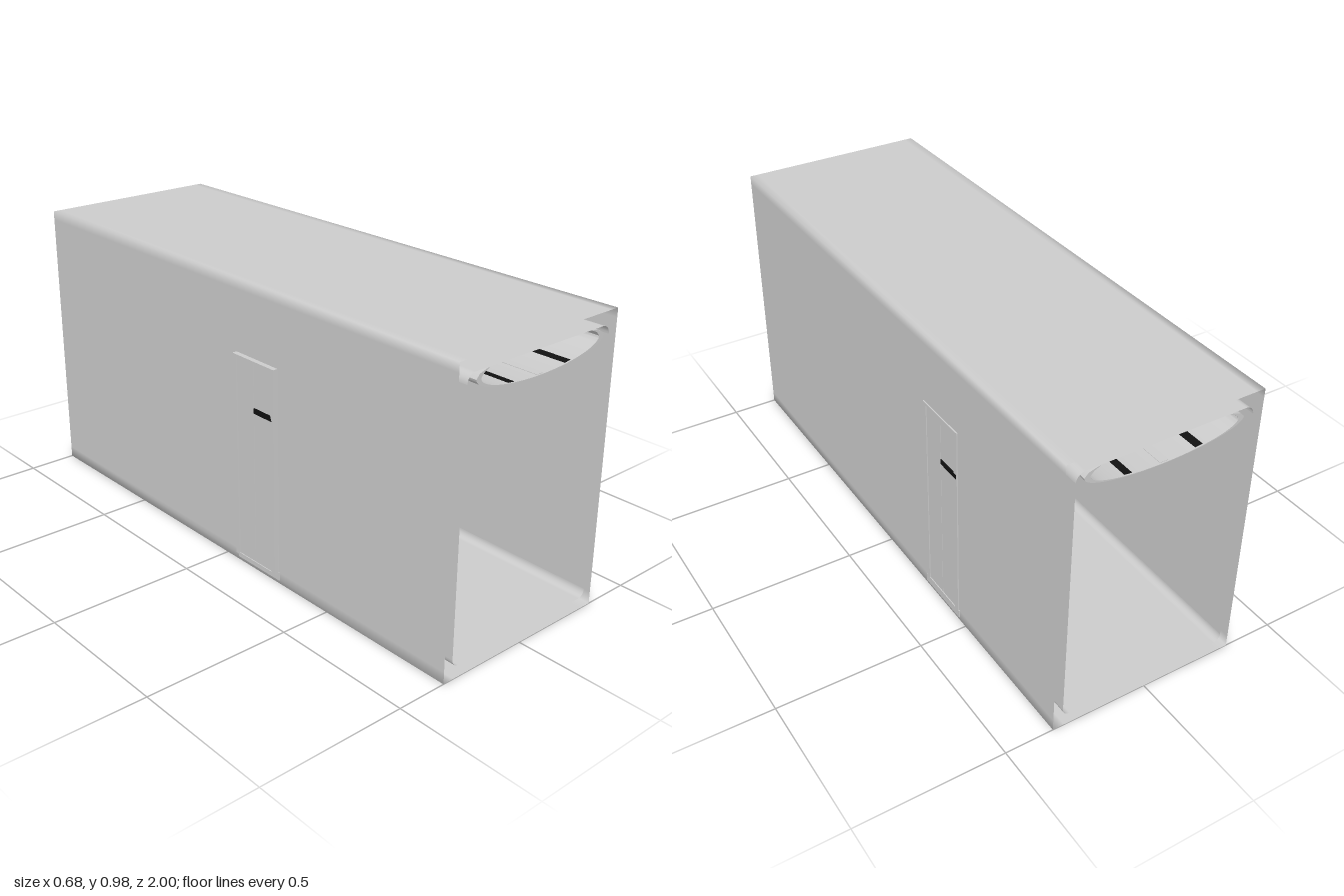
import * as THREE from 'three';
import { toCreasedNormals } from 'three/addons/utils/BufferGeometryUtils.js';

const grey = new THREE.MeshStandardMaterial({ color: 0xcccccc, side: THREE.DoubleSide });
const black = new THREE.MeshStandardMaterial({ color: 0x111111 });
const CX = 0.004;                         // centre line of the corridor
const OUT = 0.331, IN = 0.298;            // half widths of outer and inner shells
const DOOR = { half: 0.1, y0: 0.04, y1: 0.745, lip: 0.018 };
const DOORS = [
  { name: 'rightSideDoor', sign: 1, z: -0.36, face: 0.339 },
  { name: 'leftSideDoor', sign: -1, z: 0.17, face: 0.344 },
];

function add(parent, name, geometry, material = grey) {
  const mesh = new THREE.Mesh(geometry, material);
  mesh.name = name;
  parent.add(mesh);
  return mesh;
}

function box(parent, name, size, pos, material = grey) {
  const mesh = add(parent, name, new THREE.BoxGeometry(...size), material);
  mesh.position.set(...pos);
  return mesh;
}

// Surface through equal-length rows of [x, y, z] points
function loft(rows) {
  const n = rows[0].length, index = [];
  for (let i = 0; i < rows.length - 1; i++) {
    for (let j = 0; j < n - 1; j++) {
      const a = i * n + j, b = a + n;
      index.push(a, a + 1, b, a + 1, b + 1, b);
    }
  }
  const g = new THREE.BufferGeometry();
  g.setAttribute('position', new THREE.Float32BufferAttribute(rows.flat(2), 3));
  g.setIndex(index);
  g.computeVertexNormals();
  return g;
}

// Profile in x, y swept along the whole corridor
const sweep = (profile) => loft([1, -1].map((z) => profile.map(([x, y]) => [x + CX, y, z])));

// Flat side wall with a door opening
function sideWall(parent, name, sign, x, y0, y1, doorZ, half, holeTop) {
  const s = new THREE.Shape();
  s.moveTo(-1, y0);
  s.lineTo(doorZ - half, y0);
  s.lineTo(doorZ - half, holeTop);
  s.lineTo(doorZ + half, holeTop);
  s.lineTo(doorZ + half, y0);
  s.lineTo(1, y0);
  s.lineTo(1, y1);
  s.lineTo(-1, y1);
  const g = new THREE.ShapeGeometry(s).rotateY(-Math.PI / 2);  // shape x becomes z
  if (sign > 0) {                                              // face outwards
    g.index.array.reverse();
    g.computeVertexNormals();
  }
  add(parent, name, g).position.x = CX + sign * x;
}

// Rounded corner strip: wall, corner arc, flat, corner arc, wall
function roundedCap(half, y, dir, r) {
  const right = [];
  for (let i = 0; i <= 8; i++) {
    const a = (i / 8) * Math.PI / 2;
    right.push([half - r + r * Math.sin(a), y + dir * r * (1 - Math.cos(a))]);
  }
  const left = right.map(([x, v]) => [-x, v]).reverse();
  return [...left, ...right];
}

// Square corner strip with a support edge at distance d
function squareCap(half, y, dir, d) {
  return [[-half, y + dir * d], [-half, y], [d - half, y], [half - d, y], [half, y], [half, y + dir * d]];
}

// Door unit, built facing +x around z = 0
function buildDoor(d) {
  const g = new THREE.Group();
  g.name = d.name;
  const { half, y0, y1, lip } = DOOR;
  const wall = IN + d.sign * CX, face = d.face, h = y1 - y0;

  // Flared reveal from the inner wall out to the frame
  const ring = (x, o) => [[x, y0, -half - o], [x, y1 + o, -half - o], [x, y1 + o, half + o], [x, y0, half + o]];
  const rows = [];
  for (let i = 0; i <= 6; i++) {
    const a = (i / 6) * Math.PI / 2;
    rows.push(ring(wall + lip * (1 - Math.cos(a)), lip * (1 - Math.sin(a))));
  }
  rows.push(ring(face - 0.006, 0));
  add(g, 'reveal', toCreasedNormals(loft(rows), 0.7));

  // Frame around the leaves
  for (const s of [1, -1]) {
    box(g, 'frameJamb', [0.022, h, 0.018], [face - 0.011, y0 + h / 2, s * (half - 0.009)]);
  }
  box(g, 'frameHead', [0.022, 0.01, 2 * half - 0.036], [face - 0.011, y1 - 0.005, 0]);

  // Two leaves with a narrow seam and a dark handle bar
  for (const s of [1, -1]) {
    box(g, 'doorLeaf', [0.012, h - 0.012, 0.0805], [face - 0.009, y0 + h / 2 - 0.005, s * 0.0412]);
  }
  box(g, 'handleBar', [0.006, 0.018, 0.094], [face - 0.003, 0.58, -0.05], black);

  // Threshold
  box(g, 'threshold', [face - wall, 0.006, 2 * half], [(face + wall) / 2, y0 - 0.002, 0]);
  box(g, 'outerSill', [0.006, 0.028, 2 * half + 0.01], [OUT + d.sign * CX, 0.026, 0]);

  g.position.z = d.z;
  if (d.sign < 0) g.rotation.y = Math.PI;
  return g;
}

// Curved light panel hanging under the ceiling
function buildCeiling() {
  const g = new THREE.Group();
  g.name = 'ceilingPanel';
  const top = 0.938, mid = 0.915, bottom = 0.86;
  const curve = (half, low) => {
    const pts = [];
    for (let i = 0; i <= 40; i++) {
      const a = Math.PI + (i / 40) * Math.PI;
      pts.push(new THREE.Vector2(half * Math.cos(a), mid + (mid - low) * Math.sin(a)));
    }
    const k = half - 0.042;
    return [
      new THREE.Vector2(-k, top), new THREE.Vector2(-half + 0.013, mid + 0.014), ...pts,
      new THREE.Vector2(half - 0.013, mid + 0.014), new THREE.Vector2(k, top),
    ];
  };
  const inner = curve(0.249, bottom + 0.0015);
  inner[0].x = -0.215;
  inner[inner.length - 1].x = 0.215;
  const shape = new THREE.Shape([...curve(0.268, bottom), ...inner.reverse()]);
  const geo = new THREE.ExtrudeGeometry(shape, { depth: 2, bevelEnabled: false, curveSegments: 1 });
  geo.translate(0, 0, -1);
  add(g, 'curvedPanel', toCreasedNormals(geo, 0.6));

  // Long strips set along the panel
  for (const [x, mat] of [[-0.12, black], [0, grey], [0.12, black]]) {
    const t = x / 0.268, y = mid - (mid - bottom) * Math.sqrt(1 - t * t);
    const strip = box(g, mat === black ? 'darkStrip' : 'centreStrip', [0.026, 0.004, 1.99], [x, y + 0.0008, 0], mat);
    strip.rotation.z = Math.atan((mid - bottom) * t / (0.268 * Math.sqrt(1 - t * t)));
  }
  g.position.x = CX + 0.004;
  return g;
}

// Floor covering that widens towards each door
function buildFloor(parent) {
  const w = 0.24, edge = 0.285, r = 0.04, hw = DOOR.half;
  const s = new THREE.Shape();
  const [zr, zl] = [DOORS[0].z, DOORS[1].z];
  s.moveTo(-w, -1);
  s.lineTo(w, -1);
  s.lineTo(w, zr - hw - r);
  s.quadraticCurveTo(w, zr - hw, edge, zr - hw);
  s.lineTo(edge, zr + hw);
  s.quadraticCurveTo(w, zr + hw, w, zr + hw + r);
  s.lineTo(w, 1);
  s.lineTo(-w, 1);
  s.lineTo(-w, zl + hw + r);
  s.quadraticCurveTo(-w, zl + hw, -edge, zl + hw);
  s.lineTo(-edge, zl - hw);
  s.quadraticCurveTo(-w, zl - hw, -w, zl - hw - r);
  const geo = new THREE.ShapeGeometry(s).rotateX(Math.PI / 2);
  add(parent, 'floorCovering', geo).position.set(CX, 0.0425, 0);
}

export function createModel() {
  const model = new THREE.Group();
  model.name = 'corridorSection';

  // Outer and inner shells: corner strips top and bottom
  add(model, 'outerBase', sweep(squareCap(OUT, 0, 1, 0.04)));
  add(model, 'outerRoof', sweep(squareCap(OUT, 0.982, -1, 0.03).reverse()));
  add(model, 'innerFloor', sweep(roundedCap(IN, 0.04, 1, 0.025)));
  add(model, 'innerCeiling', sweep(roundedCap(IN, 0.94, -1, 0.03).reverse()));

  // Side walls and doors
  for (const d of DOORS) {
    sideWall(model, 'outerWall', d.sign, OUT, 0.04, 0.952, d.z, DOOR.half, DOOR.y1);
    sideWall(model, 'innerWall', d.sign, IN, 0.065, 0.91, d.z, DOOR.half + DOOR.lip, DOOR.y1 + DOOR.lip);
    model.add(buildDoor(d));
  }

  model.add(buildCeiling());
  buildFloor(model);
  return model;
}
